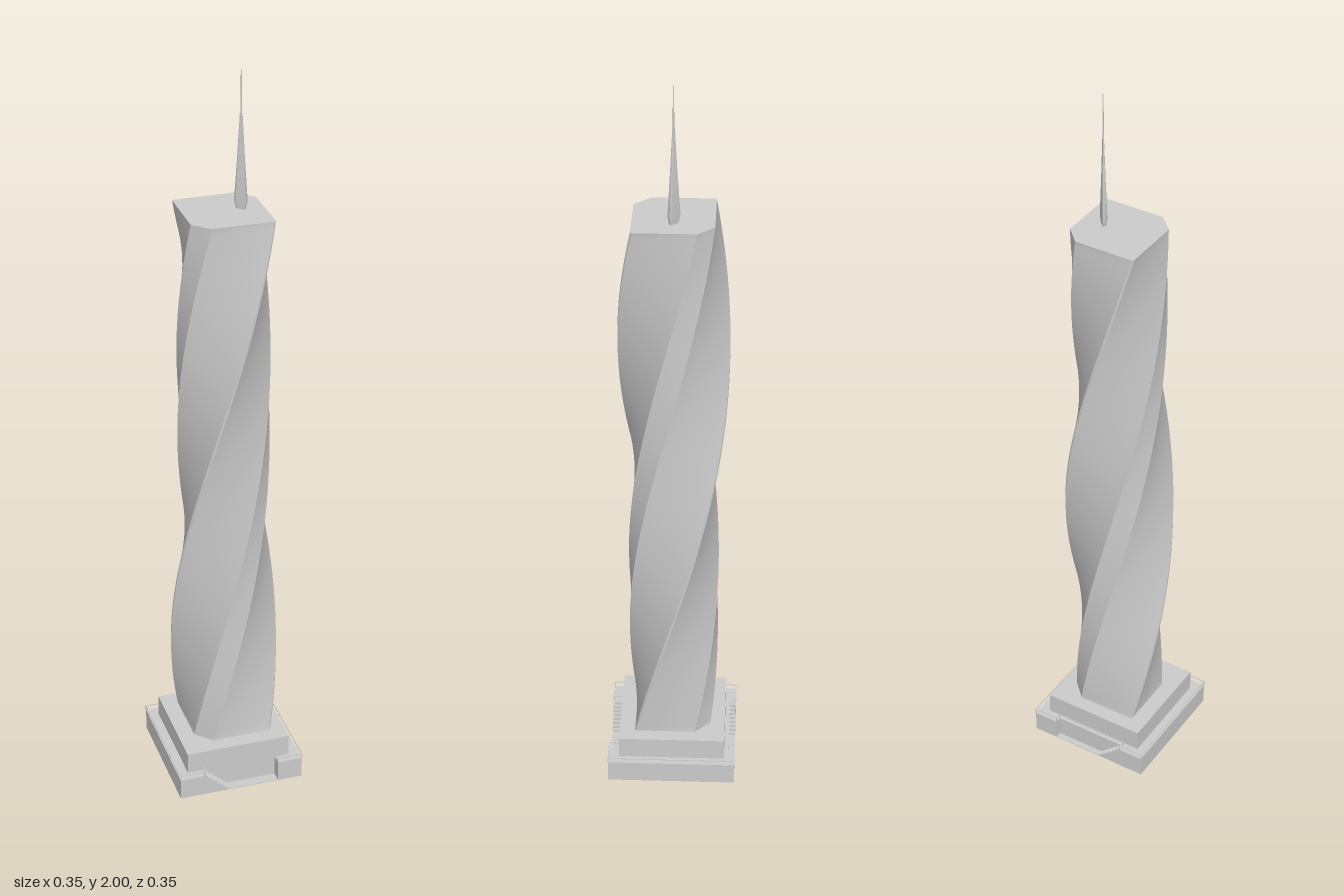
import * as THREE from 'three';
import { toCreasedNormals } from 'three/addons/utils/BufferGeometryUtils.js';

const concrete = new THREE.MeshStandardMaterial({ color: 0xcbcbcb });
concrete.name = 'pale grey';

// Skin a stack of equal-length rings and close both ends
function loft(rings, crease) {
  const n = rings[0].length, idx = [];
  rings.slice(1).forEach((_, i) => {
    for (let j = 0; j < n; j++) {
      const a = i * n + j, b = i * n + (j + 1) % n;
      idx.push(a, b, b + n, a, b + n, a + n);
    }
  });
  const top = (rings.length - 1) * n;
  for (let j = 1; j < n - 1; j++) {
    idx.push(top, top + j, top + j + 1);
    idx.push(0, j + 1, j);
  }
  const g = new THREE.BufferGeometry();
  g.setAttribute('position', new THREE.Float32BufferAttribute(rings.flat(2), 3));
  g.setIndex(idx);
  return toCreasedNormals(g, crease);
}

// Rotate, scale and lift a plan outline of [x, z] points
function ring(plan, y, angle, scale, cx, cz) {
  const c = Math.cos(angle), s = Math.sin(angle);
  return plan.map(([x, z]) => [cx + scale * (x * c + z * s), y, cz + scale * (z * c - x * s)]);
}

// Podium half-width, notch half-width, and notch depths at the front and back
const w = 0.174, e = 0.105, f = 0.145, b = 0.157;

// Notched podium outline, moved inwards by d
function podiumPlan(d) {
  const W = w - d, E = e + d, F = f - d, B = b - d;
  return [[-W, W], [-E, W], [-E, F], [E, F], [E, W], [W, W],
    [W, -W], [E, -W], [E, -B], [-E, -B], [-E, -W], [-W, -W]]
    .map(([x, z]) => new THREE.Vector2(x, -z));
}

function slab(shape, y, depth) {
  const g = new THREE.ExtrudeGeometry(shape, { depth, bevelEnabled: false });
  return g.rotateX(-Math.PI / 2).translate(0, y, 0);
}

export function createModel() {
  const model = new THREE.Group();
  const add = (name, geo, parent = model) => {
    const m = new THREE.Mesh(geo, concrete);
    m.name = name;
    parent.add(m);
    return m;
  };
  const box = (name, x0, x1, y0, y1, z0, z1, parent) =>
    add(name, new THREE.BoxGeometry(x1 - x0, y1 - y0, z1 - z0), parent)
      .position.set((x0 + x1) / 2, (y0 + y1) / 2, (z0 + z1) / 2);

  // Tower: square plan with two broad and two narrow cut corners, turning half a circle
  const h = 0.1035, k = 0.042, n = 0.004, y0 = 0.12, y1 = 1.64, steps = 80;
  const outline = [[h - n, h], [h, h - n], [h, k - h], [h - k, -h],
    [n - h, -h], [-h, n - h], [-h, h - k], [k - h, h]];
  const rings = [];
  for (let i = 0; i <= steps; i++) {
    const t = i / steps;
    rings.push(ring(outline, y0 + (y1 - y0) * t, Math.PI * t, 1, 0.0025, -0.0015));
  }
  add('twistedTower', loft(rings, 0.35));

  // Spire: flat tapering mast set diagonally on the roof, with a thin pole on top
  const mast = [[0.017, 0.004], [0.017, -0.004], [0.011, -0.007], [-0.017, -0.007],
    [-0.017, 0.004], [-0.011, 0.007]];
  const spire = [[1.64, 0.7], [1.662, 1], [1.78, 0.55], [1.89, 0.2]]
    .map(([y, s]) => ring(mast, y, -Math.PI / 4, s, 0.0475, -0.002));
  add('spireMast', loft(spire, 0.3));
  add('spirePole', new THREE.CylinderGeometry(0.0014, 0.0022, 0.13, 6))
    .position.set(0.0475, 1.935, -0.002);

  // Podium: hollow lower block, open underneath, with a notch at the front and back
  const walls = new THREE.Shape(podiumPlan(0));
  walls.holes.push(new THREE.Path(podiumPlan(0.003)));
  add('podiumWalls', slab(walls, 0, 0.057));
  add('podiumTerrace', slab(new THREE.Shape(podiumPlan(0)), 0.057, 0.003));
  box('upperPodium', -f, f, 0.058, 0.12, -f, f);

  // Stairs climbing towards -x in both notches, with a floor beside them
  const stairs = new THREE.Group();
  stairs.name = 'stairs';
  model.add(stairs);
  const count = 8, run = 0.068 / count;
  for (const [z0, z1] of [[f, w], [-w, -b]]) {
    box('notchFloor', -0.037, e, 0, 0.002, z0, z1, stairs);
    for (let i = 0; i < count; i++) {
      const x = -0.037 - i * run;
      box('stairStep', x - run, x, 0, 0.06 * (i + 1) / count, z0, z1, stairs);
    }
  }

  // Slim terrace railing following the podium edge, open at the front
  const railing = new THREE.Group();
  railing.name = 'terraceRailing';
  model.add(railing);
  const path = [[e, f], [e, w], [w, w], [w, -w], [e, -w], [e, -b], [-e, -b], [-e, -w],
    [-w, -w], [-w, w], [-e, w], [-e, f]];
  const r = 0.001;
  path.forEach(([x, z], i) => {
    box('railPost', x - r, x + r, 0.06, 0.075, z - r, z + r, railing);
    if (i === 0) return;
    const [px, pz] = path[i - 1];
    box('handrail', Math.min(x, px) - r, Math.max(x, px) + r, 0.073, 0.075,
      Math.min(z, pz) - r, Math.max(z, pz) + r, railing);
  });

  return model;
}
